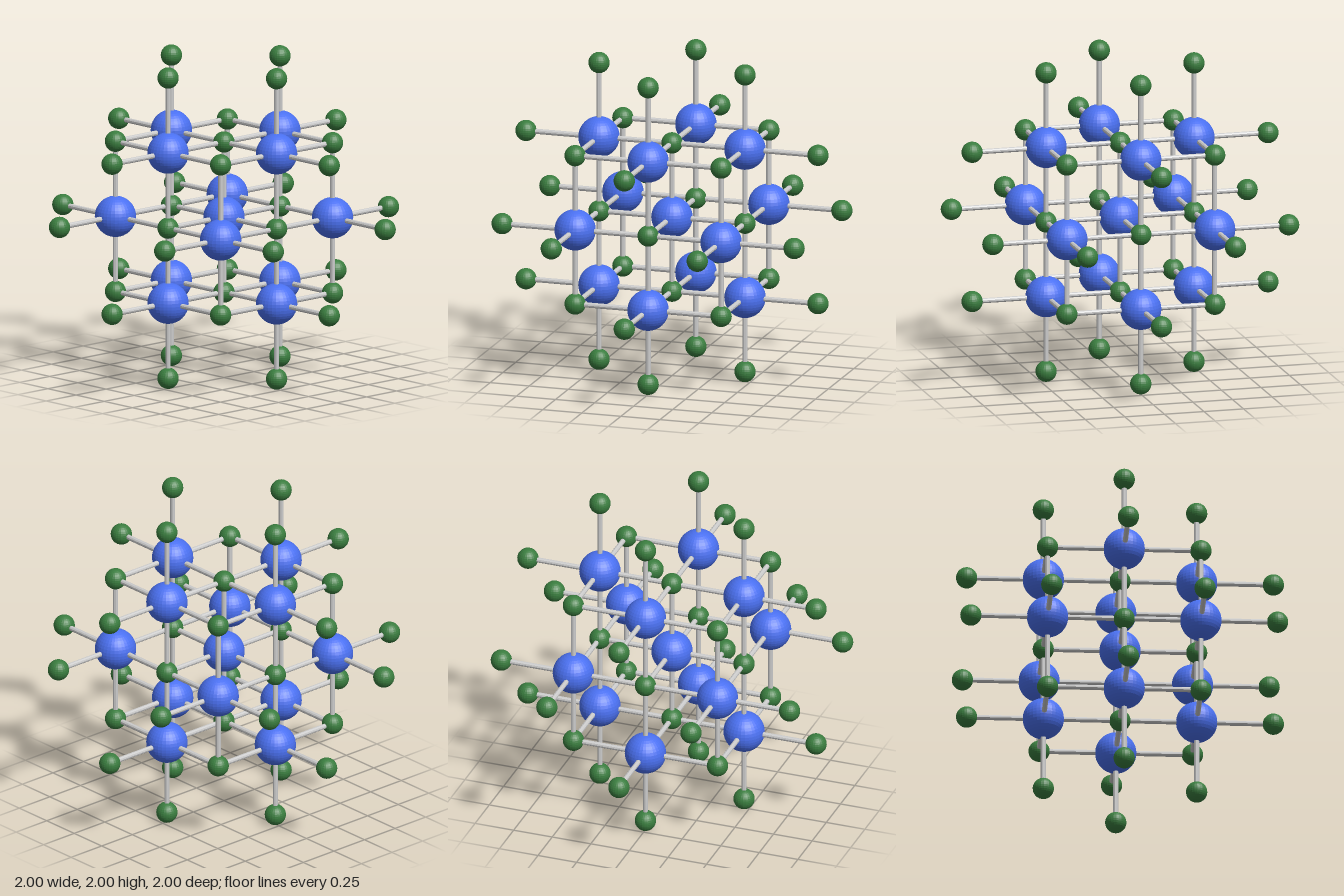
import * as THREE from 'three';

const S = 0.467;         // lattice spacing
const R_BIG = 0.126, R_SMALL = 0.065, R_ROD = 0.016;

export function createModel() {
  const model = new THREE.Group();
  model.name = 'crystalLattice';
  const lattice = new THREE.Group();
  lattice.name = 'lattice';
  lattice.position.y = 1;
  model.add(lattice);

  const blue = new THREE.MeshStandardMaterial({ color: 0x4a70f0, flatShading: true });
  const green = new THREE.MeshStandardMaterial({ color: 0x3a7d3f, flatShading: true });
  const grey = new THREE.MeshStandardMaterial({ color: 0xcccccc, flatShading: true });

  const bigGeo = new THREE.SphereGeometry(R_BIG, 32, 20);
  const smallGeo = new THREE.SphereGeometry(R_SMALL, 24, 16);
  const rodGeo = new THREE.CylinderGeometry(R_ROD, R_ROD, S, 10);

  const up = new THREE.Vector3(0, 1, 0);
  const directions = [];
  for (const sign of [1, -1]) {
    directions.push(new THREE.Vector3(sign, 0, 0), new THREE.Vector3(0, sign, 0), new THREE.Vector3(0, 0, sign));
  }

  function addPart(name, geometry, material, position) {
    const mesh = new THREE.Mesh(geometry, material);
    mesh.name = name;
    mesh.position.copy(position);
    lattice.add(mesh);
    return mesh;
  }

  // Large atoms sit at the body centre and the twelve edge midpoints;
  // each is bonded to six small atoms, which are shared between neighbours.
  const placed = new Set();
  for (let i = -1; i <= 1; i++) {
    for (let j = -1; j <= 1; j++) {
      for (let k = -1; k <= 1; k++) {
        if ((i + j + k) % 2 !== 0) continue;
        const cell = new THREE.Vector3(i, j, k);
        addPart('largeAtom', bigGeo, blue, cell.clone().multiplyScalar(S));
        for (const dir of directions) {
          const middle = cell.clone().addScaledVector(dir, 0.5).multiplyScalar(S);
          addPart('bond', rodGeo, grey, middle).quaternion.setFromUnitVectors(up, dir);

          const neighbour = cell.clone().add(dir);
          const key = neighbour.toArray().map((v) => v + 0).join();
          if (placed.has(key)) continue;
          placed.add(key);
          addPart('smallAtom', smallGeo, green, neighbour.multiplyScalar(S));
        }
      }
    }
  }
  return model;
}
